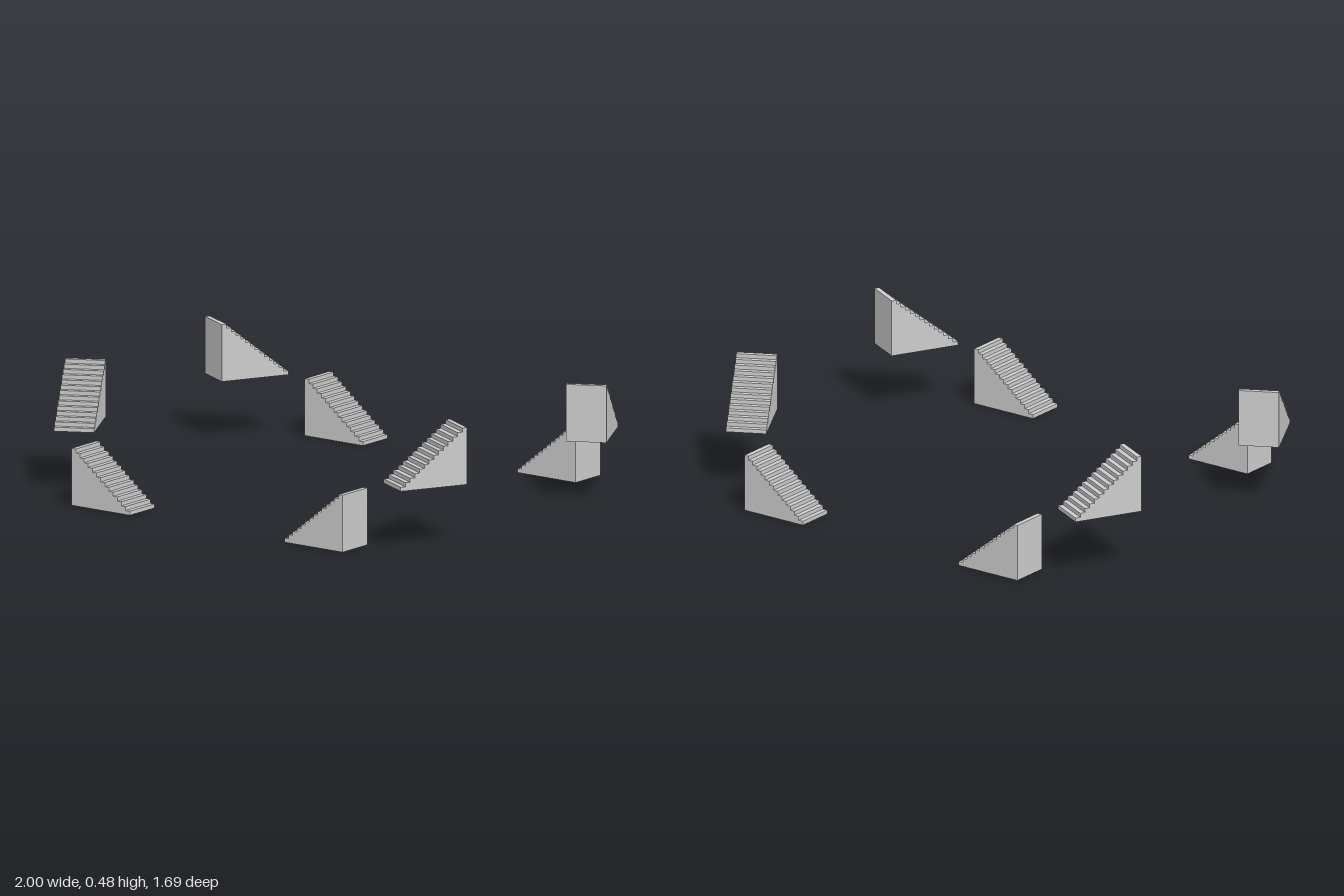
import * as THREE from 'three';

const RUN = 0.29, RISE = 0.232, WIDTH = 0.162, STEPS = 14;

// Solid stepped block climbing along +x, centred in x and z, base on y = 0
function stairGeometry() {
  const shape = new THREE.Shape();
  const tread = RUN / STEPS, riser = RISE / STEPS;
  shape.moveTo(RUN / 2, 0);
  for (let i = STEPS; i > 0; i--) {
    shape.lineTo(-RUN / 2 + i * tread, i * riser);
    shape.lineTo(-RUN / 2 + (i - 1) * tread, i * riser);
  }
  shape.lineTo(-RUN / 2, 0);
  const geometry = new THREE.ExtrudeGeometry(shape, { depth: WIDTH, bevelEnabled: false });
  geometry.translate(0, 0, -WIDTH / 2);
  return geometry;
}

export function createModel() {
  const model = new THREE.Group();
  model.name = 'staircases';
  const geometry = stairGeometry();
  const material = new THREE.MeshStandardMaterial({ color: 0xcccccc, flatShading: true });

  // One flight whose climb points along (dx, dz)
  const addStair = (name, x, y, z, dx, dz) => {
    const stair = new THREE.Mesh(geometry, material);
    stair.name = name;
    stair.position.set(x, y, z);
    stair.rotation.y = Math.atan2(-dz, dx);
    model.add(stair);
  };

  const turn = THREE.MathUtils.degToRad(62);
  for (const sx of [1, -1]) {
    for (const sz of [1, -1]) {
      const corner = (sz > 0 ? 'Front' : 'Back') + (sx > 0 ? 'Left' : 'Right');
      // Lower flight climbs outwards
      addStair('lowerStair' + corner, sx * 0.53, 0, sz * 0.762, sx, 0);
      // Upper flight turns in towards the side
      addStair('upperStair' + corner, sx * 0.861, 0.25, sz * 0.545,
        sx * Math.cos(turn), -sz * Math.sin(turn));
    }
  }
  return model;
}
